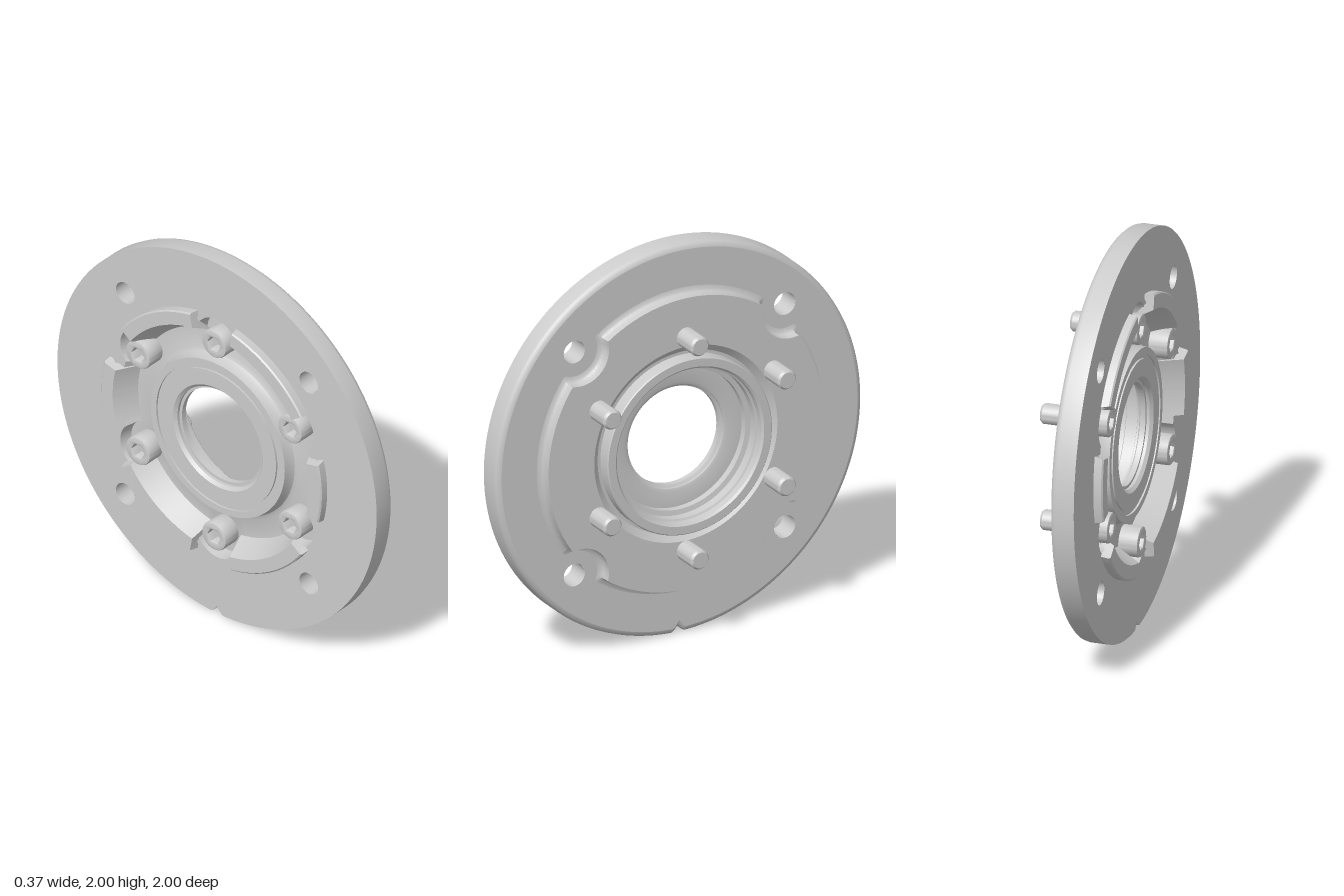
import * as THREE from 'three';
import { toCreasedNormals } from 'three/addons/utils/BufferGeometryUtils.js';

const N = 720;
const TAU = Math.PI * 2;
const mat = new THREE.MeshStandardMaterial({ color: 0xcccccc });
const matDouble = new THREE.MeshStandardMaterial({ color: 0xcccccc, side: THREE.DoubleSide });

// signed angle from the nearest of n equally spaced directions
function nearest(a, first, n) {
  const step = TAU / n;
  const d = a - first;
  return d - Math.round(d / step) * step;
}

// Outlines as radius by angle
const rim = (r) => (a) => r - Math.max(0, 0.04 - 1.3 * Math.abs(nearest(a, -Math.PI / 2, 1)));
const plate = (o) => (a) => { // disc with a scoop around each of the four holes
  const c = 0.813, q = 0.155 - o, d = nearest(a, Math.PI / 4, 4);
  const k = q * q - (c * Math.sin(d)) ** 2;
  return k > 0 ? Math.min(0.75 + o, c * Math.cos(d) - Math.sqrt(k)) : 0.75 + o;
};
const pocket = (r, lobe) => (a) => { // circle with a lobe around each of the six screws
  const c = 0.55, d = nearest(a, Math.PI / 6, 6);
  const k = lobe * lobe - (c * Math.sin(d)) ** 2;
  return k > 0 ? Math.max(r, c * Math.cos(d) + Math.sqrt(k)) : r;
};

function gridGeometry(rows, closed) {
  const pos = [], idx = [], n = rows[0].length;
  rows.forEach((row) => row.forEach((p) => pos.push(...p)));
  for (let i = 0; i < rows.length - 1; i++) {
    for (let j = 0; j < (closed ? n : n - 1); j++) {
      const k = (j + 1) % n, a = i * n + j, b = a + n, c = i * n + k, d = c + n;
      idx.push(a, b, c, c, b, d);
    }
  }
  const g = new THREE.BufferGeometry();
  g.setAttribute('position', new THREE.Float32BufferAttribute(pos, 3));
  g.setIndex(idx);
  return toCreasedNormals(g, 0.6);
}

// Surface through closed outlines, each given as [radius or outline, height]
function band(profile) {
  return gridGeometry(profile.map(([r, z]) => Array.from({ length: N }, (_, j) => {
    const a = (j / N) * TAU, q = typeof r === 'function' ? r(a) : r;
    return [q * Math.cos(a), q * Math.sin(a), z];
  })), true);
}

const outlinePoints = (f) => Array.from({ length: N }, (_, j) => {
  const a = (j / N) * TAU, r = f(a);
  return new THREE.Vector2(r * Math.cos(a), r * Math.sin(a));
});

const holes = [0, 1, 2, 3].map((i) => {
  const a = Math.PI / 4 + (i * Math.PI) / 2;
  return [0.813 * Math.cos(a), 0.813 * Math.sin(a)];
});

// Flat flange face between two outlines, pierced by the mounting holes
function flangeFace(outer, inner) {
  const s = new THREE.Shape(outlinePoints(outer));
  s.holes.push(new THREE.Path(outlinePoints(inner)));
  holes.forEach(([x, y]) => s.holes.push(new THREE.Path().absarc(x, y, 0.058, 0, TAU, true)));
  return new THREE.ShapeGeometry(s, 24);
}

// Raised arc pad with sloping inner wall and tapered ends
function padGeometry(center, half) {
  const section = [[0.69, -0.13, 0.02], [0.69, -0.178, 0.003], [0.683, -0.185, 0],
    [0.615, -0.185, 0], [0.555, -0.07, 0.03]];
  const steps = 32;
  const rows = section.map(([r, z, extra]) => Array.from({ length: steps + 1 }, (_, j) => {
    const a = center + (half + extra) * ((2 * j) / steps - 1);
    return [r * Math.cos(a), r * Math.sin(a), z];
  }));
  // close both ends by collapsing the section onto its middle
  const ends = rows.map((row) => [row[0], row[steps]]);
  const mid = [0, 1].map((e) => [0, 1, 2].map((k) => ends.reduce((s, p) => s + p[e][k], 0) / ends.length));
  return gridGeometry(rows.map((row) => [mid[0], ...row, mid[1]]), false);
}

export function createModel() {
  const model = new THREE.Group();
  const body = new THREE.Group();
  body.name = 'flangeAssembly';
  body.rotation.y = Math.PI / 2; // local z becomes the x axis
  body.position.y = 1;
  model.add(body);
  const add = (name, geo, material = mat, parent = body) => {
    const m = new THREE.Mesh(geo, material);
    m.name = name;
    parent.add(m);
    return m;
  };

  // Flange disc: rounded rim and two faces
  add('flangeRim', band([[rim(0.972), -0.02], [rim(0.985), -0.024], [rim(0.996), -0.035],
    [rim(1), -0.05], [rim(1), -0.14]]));
  add('flangeFrontFace', flangeFace(rim(0.972), plate(0.03))).position.z = -0.02;
  const back = add('flangeBackFace', flangeFace(rim(1), pocket(0.6, 0.13)));
  back.rotation.y = Math.PI;
  back.position.z = -0.14;
  holes.forEach(([x, y]) => {
    const g = new THREE.CylinderGeometry(0.058, 0.058, 0.12, 32, 1, true).rotateX(Math.PI / 2);
    add('mountingHole', g, matDouble).position.set(x, y, -0.08);
  });

  // Back pocket and hub
  add('backPocketAndHub', band([
    [pocket(0.6, 0.13), -0.14], [pocket(0.56, 0.12), -0.07], [0.455, -0.07], [0.435, -0.08],
    [0.425, -0.1], [0.42, -0.135], [0.385, -0.135], [0.385, -0.125], [0.365, -0.125],
    [0.365, -0.135], [0.28, -0.135], [0.265, -0.12], [0.265, -0.105], [0.25, -0.105], [0.25, -0.078],
  ]));

  // Stepped bore, boss lip and raised plate
  add('boreBossAndPlate', band([
    [0.25, -0.078], [0.265, -0.07], [0.265, -0.06], [0.28, -0.055], [0.36, -0.055], [0.36, -0.02],
    [0.385, -0.015], [0.385, 0.03], [0.395, 0.035], [0.395, 0.07], [0.405, 0.08], [0.445, 0.08],
    [0.45, 0.075], [0.45, 0.01], [0.465, 0.01], [0.5, 0.04],
    [plate(0), 0.04], [plate(0), 0.005], [plate(0.004), -0.008], [plate(0.013), -0.016], [plate(0.03), -0.02],
  ]));

  // Arc pads on the back: two short at the sides, four long
  const deg = Math.PI / 180;
  [[0, 13.5], [180, 13.5], [57, 22], [123, 22], [237, 22], [303, 22]].forEach(([c, h]) =>
    add('backPad', padGeometry(c * deg, h * deg), matDouble));

  // Socket screws: hex-socket head at the back, shank out the front
  const headShape = new THREE.Shape().absarc(0, 0, 0.067, 0, TAU, false);
  headShape.holes.push(new THREE.Path(Array.from({ length: 6 }, (_, i) =>
    new THREE.Vector2(0.048 * Math.cos((-i * TAU) / 6), 0.048 * Math.sin((-i * TAU) / 6)))));
  const head = toCreasedNormals(new THREE.ExtrudeGeometry(headShape, {
    depth: 0.085, bevelThickness: 0.008, bevelSize: 0.008, bevelSegments: 2, curveSegments: 32,
  }), 0.5);
  const shank = toCreasedNormals(new THREE.LatheGeometry(
    [[0.05, -0.08], [0.05, 0.168], [0.04, 0.18], [0, 0.18]].map(([x, y]) => new THREE.Vector2(x, y)), 32,
  ).rotateX(Math.PI / 2), 0.4);
  for (let i = 0; i < 6; i++) {
    const a = Math.PI / 6 + (i * Math.PI) / 3;
    const screw = new THREE.Group();
    screw.name = 'socketScrew';
    screw.position.set(0.55 * Math.cos(a), 0.55 * Math.sin(a), 0);
    add('screwHead', head, mat, screw).position.z = -0.157;
    add('socketFloor', new THREE.CircleGeometry(0.055, 24), matDouble, screw).position.z = -0.115;
    add('screwShank', shank, mat, screw);
    body.add(screw);
  }
  return model;
}
